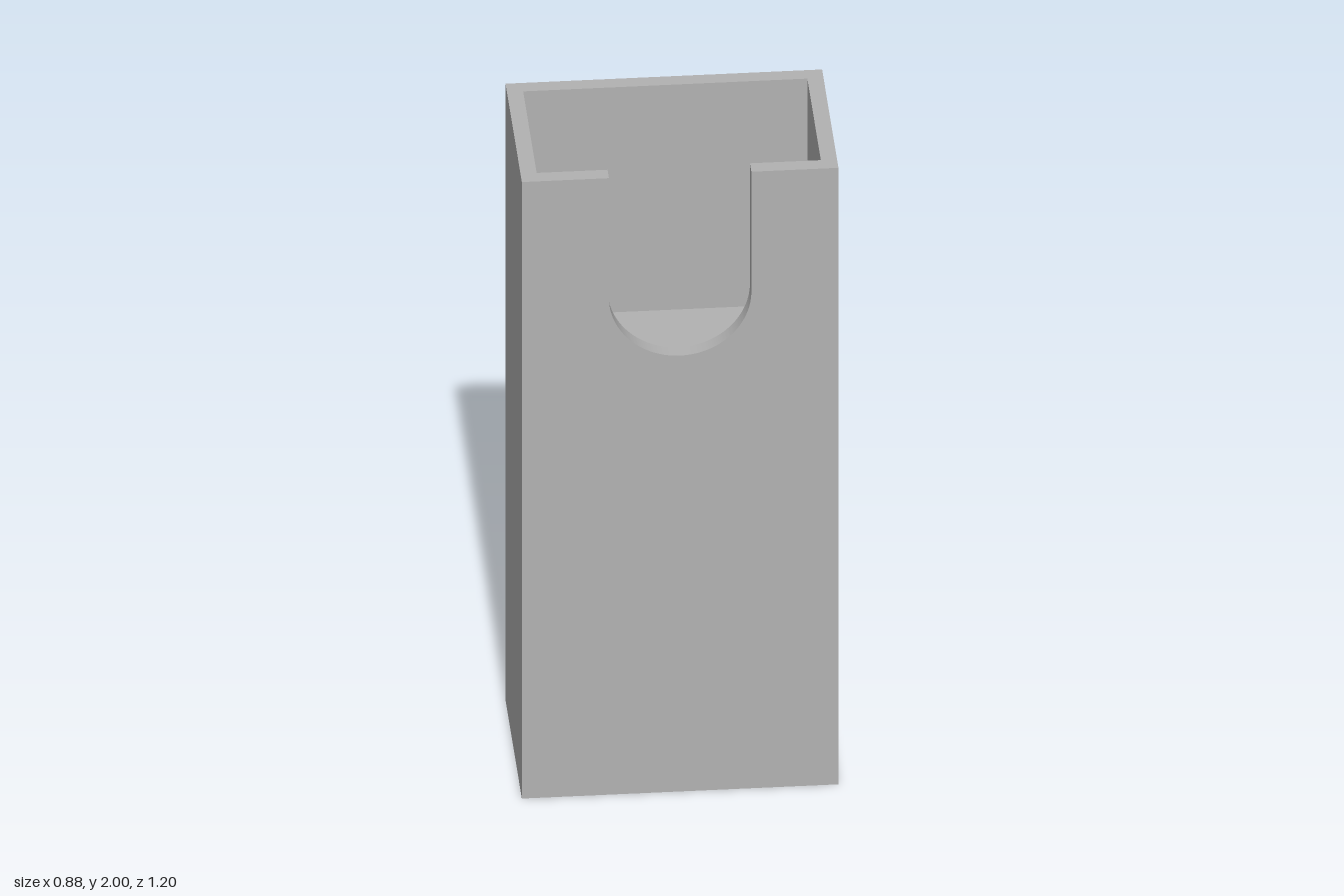
import * as THREE from 'three';
import { toCreasedNormals } from 'three/addons/utils/BufferGeometryUtils.js';

const W = 0.44, ZB = 0.075, ZF = 0.6, H = 2;         // housing half width, back, front, height
const IW = 0.395, IZB = 0.12, IZF = 0.555, FLOOR = 1.27; // pocket
const Y0 = 0.69, Y1 = 1.27;                           // clamp height range
const RING_Z = -0.12, R_IN = 0.187, R_OUT = 0.243;
const LUG_IN = 0.03, LUG_OUT = 0.167, LUG_Z = -0.37, TIP_Z = -0.58, END_Z = -0.6;
const BOLT_Z = -0.48, BOLT_Y = 0.98, BOLT_R = 0.045, NUT_R = 0.083, NUT_DEPTH = 0.06;

const poly = (pts) => new THREE.Shape(pts.map(([x, y]) => new THREE.Vector2(x, y)));

const extrude = (shape, depth) => new THREE.ExtrudeGeometry(shape, { depth, bevelEnabled: false, curveSegments: 48 });

// Plan shape (x, -z) raised from y0 to y1
const raise = (shape, y0, y1) => extrude(shape, y1 - y0).rotateX(-Math.PI / 2).translate(0, y0, 0);

// Side shape (z, y) spanning x0 to x1
const across = (shape, x0, x1) => extrude(shape, x1 - x0).rotateY(-Math.PI / 2).translate(x1, 0, 0);

export function createModel() {
  const model = new THREE.Group();
  model.name = 'clampHolder';
  const grey = new THREE.MeshStandardMaterial({ color: 0xb2b2b2 });
  grey.name = 'grey plastic';
  const add = (name, geometry, parent) => {
    const mesh = new THREE.Mesh(toCreasedNormals(geometry, 0.4), grey);
    mesh.name = name;
    parent.add(mesh);
  };
  const group = (name) => {
    const g = new THREE.Group();
    g.name = name;
    model.add(g);
    return g;
  };

  // Housing: solid base, U-shaped wall and notched front panel
  const housing = group('housing');
  add('base', new THREE.BoxGeometry(2 * W, FLOOR, ZF - ZB).translate(0, FLOOR / 2, (ZF + ZB) / 2), housing);
  add('sideAndBackWalls', raise(poly([
    [-W, -IZF], [-IW, -IZF], [-IW, -IZB], [IW, -IZB], [IW, -IZF], [W, -IZF], [W, -ZB], [-W, -ZB],
  ]), FLOOR, H), housing);

  const panel = new THREE.Shape();
  panel.moveTo(-W, FLOOR);
  panel.lineTo(W, FLOOR);
  panel.lineTo(W, H);
  panel.lineTo(0.198, H);
  panel.lineTo(0.198, 1.612);
  panel.absarc(0, 1.612, 0.198, 0, -Math.PI, true);
  panel.lineTo(-0.198, H);
  panel.lineTo(-W, H);
  panel.closePath();
  add('notchedFront', extrude(panel, ZF - IZF).translate(0, 0, IZF), housing);

  // Clamp collar: split ring with flared foot and lug roots
  const clamp = group('clamp');
  const foot = Math.atan2(-0.14, 0.2), root = Math.atan2(0.17, 0.174);
  const slit = Math.acos(LUG_IN / R_IN);
  const ring = new THREE.Shape();
  ring.moveTo(0.235, -ZB);
  ring.lineTo(0.2, -0.045);
  ring.absarc(0, -RING_Z, R_OUT, foot, root, false);
  ring.lineTo(LUG_OUT, 0.315);
  ring.lineTo(LUG_OUT, -LUG_Z);
  ring.lineTo(LUG_IN, -LUG_Z);
  ring.absarc(0, -RING_Z, R_IN, slit, Math.PI - slit - 2 * Math.PI, true);
  ring.lineTo(-LUG_IN, -LUG_Z);
  ring.lineTo(-LUG_OUT, -LUG_Z);
  ring.lineTo(-LUG_OUT, 0.315);
  ring.absarc(0, -RING_Z, R_OUT, Math.PI - root, Math.PI - foot, false);
  ring.lineTo(-0.2, -0.045);
  ring.lineTo(-0.235, -ZB);
  ring.closePath();
  add('collar', raise(ring, Y0, Y1), clamp);

  // Lugs with bolt holes; the left lug has a hexagonal nut pocket
  const plate = (hole) => {
    const s = poly([[TIP_Z, Y0], [LUG_Z, Y0], [LUG_Z, Y1], [TIP_Z, Y1]]);
    s.holes.push(hole);
    return s;
  };
  const bolt = new THREE.Path().absarc(BOLT_Z, BOLT_Y, BOLT_R, 0, 2 * Math.PI, false);
  const hex = new THREE.Path(Array.from({ length: 6 }, (_, i) => new THREE.Vector2(
    BOLT_Z + NUT_R * Math.cos(i * Math.PI / 3), BOLT_Y + NUT_R * Math.sin(i * Math.PI / 3))));
  add('rightLug', across(plate(bolt), -LUG_OUT, -LUG_IN), clamp);
  add('leftLug', across(plate(bolt), LUG_IN, LUG_OUT - NUT_DEPTH), clamp);
  add('leftLugNutPocket', across(plate(hex), LUG_OUT - NUT_DEPTH, LUG_OUT), clamp);

  // Chamfered lug ends
  for (const [side, s] of [['left', 1], ['right', -1]]) {
    add(side + 'LugEnd', raise(poly([
      [s * LUG_IN, -TIP_Z], [s * LUG_OUT, -TIP_Z], [s * (LUG_OUT - 0.02), -END_Z], [s * LUG_IN, -END_Z],
    ]), Y0, Y1), clamp);
  }
  return model;
}
